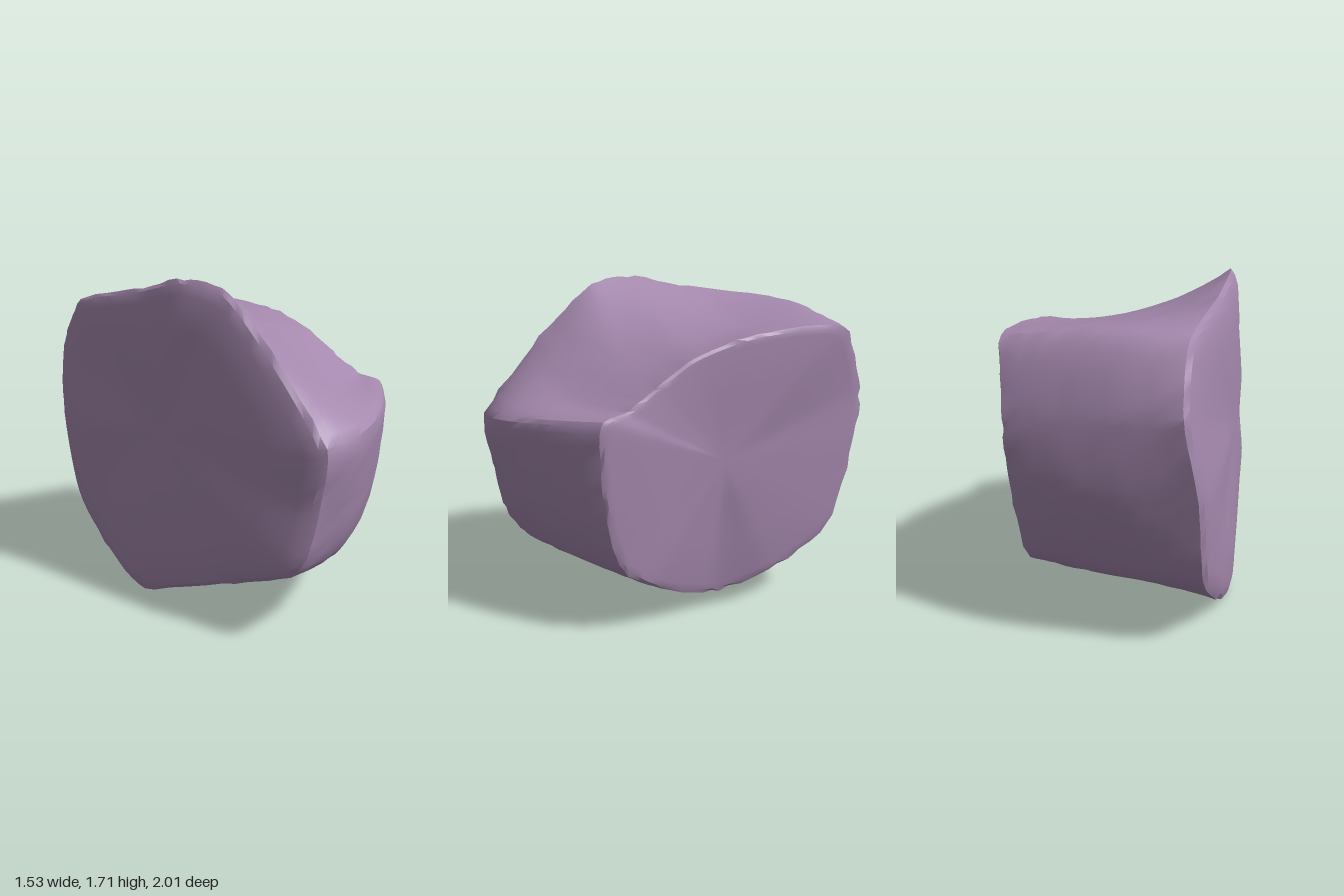
import * as THREE from 'three';
import { toCreasedNormals } from 'three/addons/utils/BufferGeometryUtils.js';

// Matching outlines, running from the front top edge down, under, up the back and over the top.
const leftRim = [
  [0.05, 1.01, 1.0], [0.04, 0.7, 0.97], [-0.03, 0.39, 0.91], [-0.2, 0.23, 0.58], [-0.5, 0.0, 0.0],
  [-0.62, 0.13, -0.3], [-0.72, 0.4, -0.6], [-0.76, 0.85, -0.72], [-0.73, 1.25, -0.8], [-0.65, 1.54, -0.64],
  [-0.47, 1.63, -0.12], [-0.33, 1.7, 0.24], [-0.19, 1.65, 0.46], [-0.08, 1.4, 0.71],
];
const middle = [
  [0.42, 1.06, 0.81], [0.42, 0.73, 0.77], [0.36, 0.39, 0.68], [0.21, 0.23, 0.37], [-0.05, 0.08, -0.1],
  [-0.17, 0.18, -0.44], [-0.25, 0.4, -0.77], [-0.28, 0.85, -0.92], [-0.27, 1.22, -0.92], [-0.17, 1.54, -0.76],
  [-0.05, 1.51, -0.3], [0.1, 1.48, 0.05], [0.22, 1.37, 0.3], [0.33, 1.19, 0.56],
];
const rightRim = [
  [0.76, 1.12, 0.34], [0.75, 0.77, 0.34], [0.7, 0.41, 0.27], [0.61, 0.25, 0.11], [0.37, 0.1, -0.2],
  [0.28, 0.18, -0.52], [0.16, 0.39, -0.85], [0.12, 0.85, -0.98], [0.12, 1.15, -0.99], [0.23, 1.49, -0.86],
  [0.41, 1.48, -0.4], [0.52, 1.39, -0.1], [0.6, 1.27, 0.08], [0.68, 1.17, 0.22],
];
const SEG = 84, ROWS = 14;
const CORE = new THREE.Vector3(0, 0.85, 0);

function seeded(seed) {
  return () => (seed = (seed * 16807) % 2147483647) / 2147483647;
}

function loop(points) {
  const curve = new THREE.CatmullRomCurve3(points.map(p => new THREE.Vector3(...p)), true, 'catmullrom', 0.35);
  return Array.from({ length: SEG }, (_, i) => curve.getPoint(i / SEG));
}

// Shrinks a rim towards its centre and pushes it outwards, to make a gently domed face.
function inset(ring, scale, push, normal) {
  const centre = ring.reduce((s, p) => s.add(p), new THREE.Vector3()).divideScalar(SEG);
  return ring.map(p => p.clone().sub(centre).multiplyScalar(scale).add(centre).addScaledVector(normal, push));
}

function rockGeometry() {
  const random = seeded(71);
  const a = loop(leftRim), m = loop(middle), b = loop(rightRim);
  const outA = new THREE.Vector3(-0.9, 0, 0.43), outB = new THREE.Vector3(0.92, -0.1, -0.38).normalize();

  // Sides: a parabola through the three outlines, with soft weathering and chipped rims
  const sides = [];
  for (let j = 0; j <= ROWS; j++) {
    const t = j / ROWS;
    const rough = j === 0 || j === ROWS ? 0.018 : 0.007;
    sides.push(a.map((p, i) => {
      const q = p.clone().multiplyScalar((1 - t) * (1 - 2 * t))
        .addScaledVector(m[i], 4 * t * (1 - t))
        .addScaledVector(b[i], t * (2 * t - 1));
      const wave = 0.008 * Math.sin(7 * q.x + 5 * q.y) * Math.sin(6 * q.z + 4 * q.y) * Math.sin(Math.PI * t);
      return q.lerp(CORE, rough * (random() - 0.4) + wave);
    }));
  }
  // Large broken faces: the left one domed, the right one nearly flat
  const rings = [
    ...[[0, 0.074], [0.35, 0.07], [0.7, 0.058], [0.9, 0.04], [0.97, 0.02]].map(([s, d]) => inset(a, s, d, outA)),
    ...sides,
    ...[[0.97, 0.008], [0.93, 0.01], [0.6, 0.006], [0.3, 0.002], [0, 0]].map(([s, d]) => inset(b, s, d, outB)),
  ];

  const index = [];
  const last = rings.length - 2;
  for (let j = 0; j <= last; j++) {
    for (let i = 0; i < SEG; i++) {
      const p = j * SEG + i, q = j * SEG + (i + 1) % SEG;
      if (j > 0) index.push(p, q, p + SEG);
      if (j < last) index.push(q, q + SEG, p + SEG);
    }
  }
  const geometry = new THREE.BufferGeometry().setFromPoints(rings.flat());
  geometry.setIndex(index);
  return toCreasedNormals(geometry, 0.45);
}

export function createModel() {
  const group = new THREE.Group();
  group.name = 'boulder';
  const rock = new THREE.Mesh(rockGeometry(), new THREE.MeshStandardMaterial({ color: 0xa488ad }));
  rock.name = 'rock';
  group.add(rock);
  return group;
}
